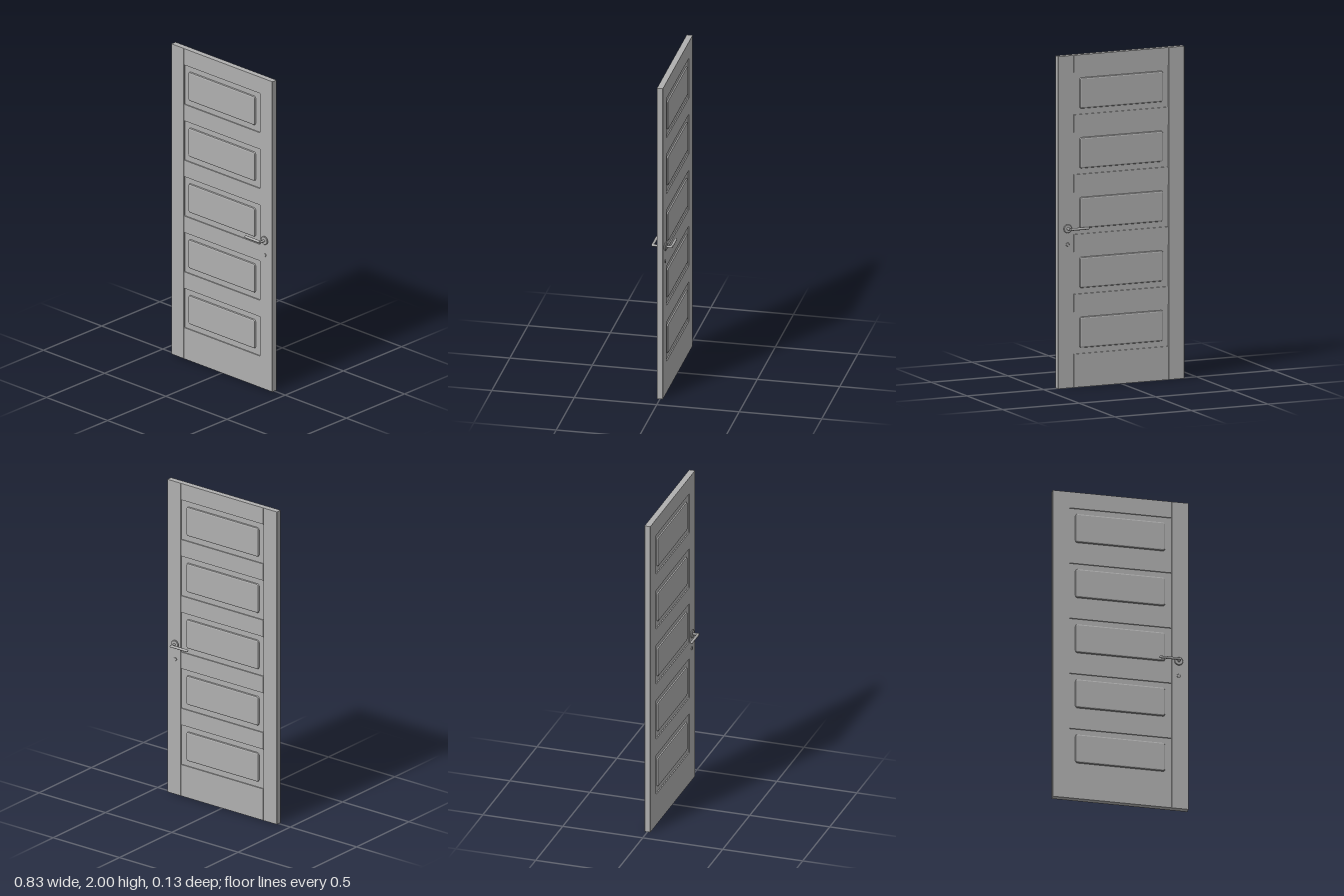
import * as THREE from 'three';

const grey = new THREE.MeshStandardMaterial({ color: 0xb0b0b0 });

const HALF_W = 0.413, HALF_T = 0.018, HEIGHT = 2;
const STILE = 0.31;            // inner edge of the stiles
const PANEL_T = 0.011;         // half thickness of the recessed panels
const FIELD_H = 0.186, MARGIN = 0.034;
const fieldBottoms = [0, 1, 2, 3, 4].map(i => 0.235 + i * 0.36);

function add(parent, name, geometry, x = 0, y = 0, z = 0) {
  const mesh = new THREE.Mesh(geometry, grey);
  mesh.name = name;
  mesh.position.set(x, y, z);
  parent.add(mesh);
  return mesh;
}

// Upright board with softly chamfered long edges
function stileGeometry(width) {
  const c = 0.002, w = width / 2, t = HALF_T;
  const s = new THREE.Shape([
    [-w + c, -t], [w - c, -t], [w, -t + c], [w, t - c],
    [w - c, t], [-w + c, t], [-w, t - c], [-w, -t + c],
  ].map(p => new THREE.Vector2(...p)));
  const g = new THREE.ExtrudeGeometry(s, { depth: HEIGHT, bevelEnabled: false });
  return g.rotateX(-Math.PI / 2);
}

// Raised field: rounded rectangle with sloping edges, facing +z
function fieldGeometry() {
  const bevel = 0.009, w = 0.2725 - bevel, h = FIELD_H / 2 - bevel, r = 0.005;
  const s = new THREE.Shape();
  s.absarc(w - r, h - r, r, 0, Math.PI / 2);
  s.absarc(-w + r, h - r, r, Math.PI / 2, Math.PI);
  s.absarc(-w + r, -h + r, r, Math.PI, Math.PI * 1.5);
  s.absarc(w - r, -h + r, r, Math.PI * 1.5, Math.PI * 2);
  return new THREE.ExtrudeGeometry(s, {
    depth: 0.004, bevelEnabled: true, bevelSize: bevel,
    bevelThickness: 0.008, bevelSegments: 2, curveSegments: 5,
  });
}

// Round disc standing on the door face with a chamfered rim
function discGeometry(radius, height) {
  const pts = [[0, 0], [radius, 0], [radius, height * 0.7],
    [radius, height * 0.7], [radius * 0.9, height], [radius * 0.9, height], [0, height]];
  return new THREE.LatheGeometry(pts.map(p => new THREE.Vector2(...p)), 32).rotateX(Math.PI / 2);
}

// Lever set for one face, facing +z; lever points along the given x direction
function leverSet(dir) {
  const set = new THREE.Group();
  add(set, 'rosette', discGeometry(0.026, 0.009), 0, 0.96, HALF_T);
  add(set, 'keyCover', discGeometry(0.011, 0.004), 0, 0.865, HALF_T);
  add(set, 'neck', new THREE.CylinderGeometry(0.0075, 0.0075, 0.045, 20).rotateX(Math.PI / 2),
    0, 0.96, 0.0405);
  add(set, 'lever', new THREE.CylinderGeometry(0.008, 0.008, 0.115, 20).rotateZ(Math.PI / 2),
    dir * 0.0605, 0.96, 0.0575);
  add(set, 'leverTip', new THREE.SphereGeometry(0.008, 20, 12), dir * 0.118, 0.96, 0.0575);
  return set;
}

export function createModel() {
  const door = new THREE.Group();
  door.name = 'panelDoor';

  // Stiles
  const stileW = HALF_W - STILE;
  for (const side of [-1, 1]) {
    add(door, side < 0 ? 'rightStile' : 'leftStile', stileGeometry(stileW), side * (STILE + stileW / 2));
  }

  // Rails fill the spaces between the panel openings
  let bottom = 0;
  for (const y of [...fieldBottoms, null]) {
    const top = y === null ? HEIGHT : y - MARGIN;
    add(door, 'rail', new THREE.BoxGeometry(STILE * 2, top - bottom, HALF_T * 2), 0, (top + bottom) / 2);
    if (y !== null) bottom = y + FIELD_H + MARGIN;
  }

  // Recessed panels with a raised field on both faces
  const openH = FIELD_H + 2 * MARGIN;
  const field = fieldGeometry();
  for (const y of fieldBottoms) {
    const cy = y + FIELD_H / 2;
    add(door, 'recessedPanel', new THREE.BoxGeometry(STILE * 2, openH, PANEL_T * 2), 0, cy);
    // the field's rear bevel is buried in the panel
    add(door, 'raisedField', field, -0.002, cy, 0.009);
    add(door, 'raisedField', field, -0.002, cy, -0.009).rotation.y = Math.PI;
  }

  // Lever handles on both faces
  const front = leverSet(-1);
  front.name = 'frontHandle';
  front.position.x = 0.352;
  const back = leverSet(1);
  back.name = 'backHandle';
  back.position.x = 0.352;
  back.rotation.y = Math.PI;
  door.add(front, back);

  return door;
}
